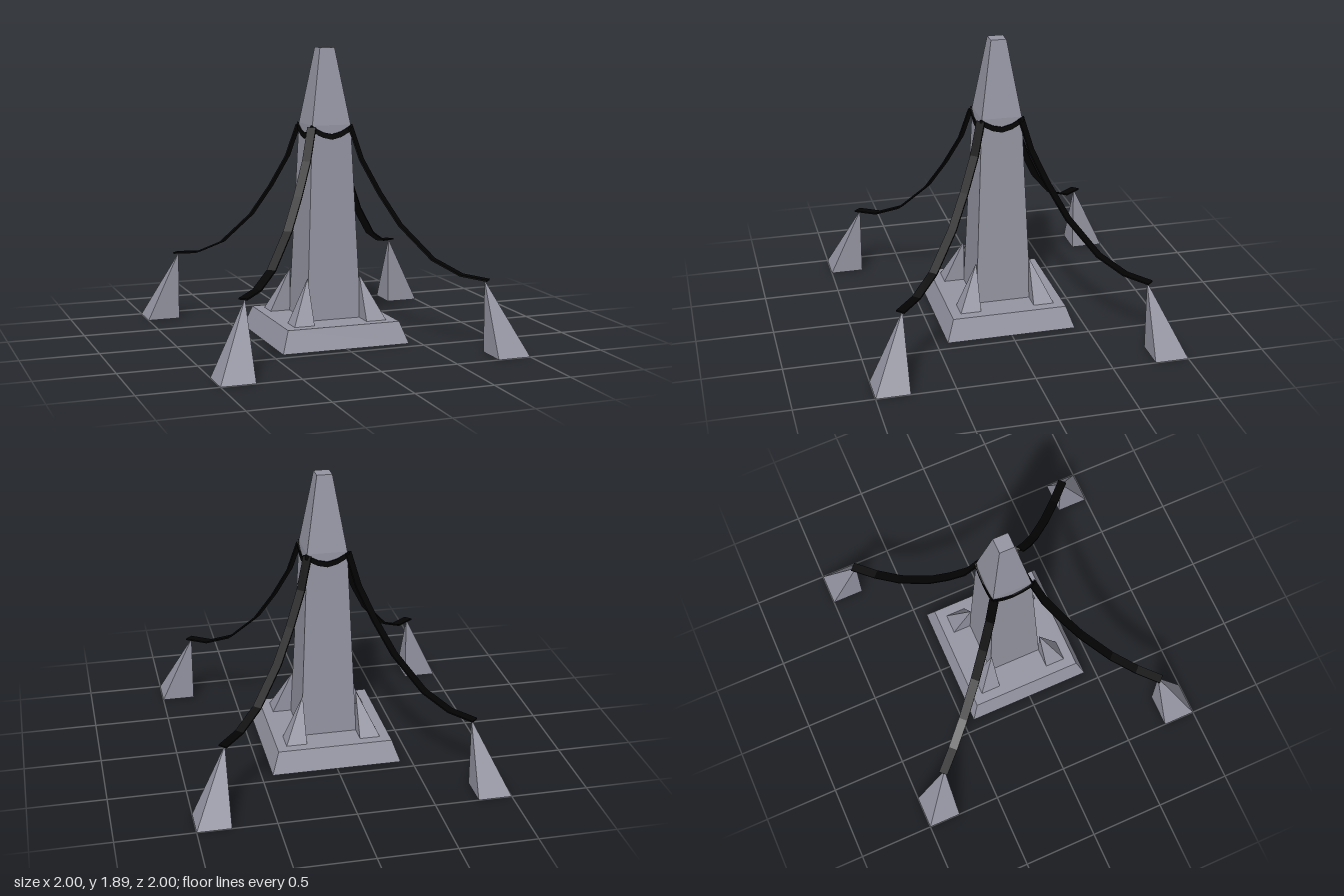
import * as THREE from 'three';

const stone = new THREE.MeshStandardMaterial({ color: 0x9494a2, flatShading: true, side: THREE.DoubleSide });
const black = new THREE.MeshStandardMaterial({ color: 0x030303, flatShading: true, side: THREE.DoubleSide });

function flatMesh(name, geometry, material) {
  const g = geometry.index ? geometry.toNonIndexed() : geometry;
  g.computeVertexNormals();
  const mesh = new THREE.Mesh(g, material);
  mesh.name = name;
  return mesh;
}

// Square section swept up a profile of [half width, height], open below
function squareLathe(profile) {
  const points = profile.map(([w, y]) => new THREE.Vector2(w * Math.SQRT2, y));
  return new THREE.LatheGeometry(points, 4, Math.PI / 4);
}

// Open-bottomed pyramid on the square a..b, with its apex above the inner corner
function cornerPyramid(a, b, y0, y1) {
  const c = [[a, a], [b, a], [b, b], [a, b]];
  const pos = [];
  for (let i = 0; i < 4; i++) {
    const [p, q] = [c[i], c[(i + 1) % 4]];
    pos.push(q[0], y0, q[1], p[0], y0, p[1], a, y1, a);
  }
  return new THREE.BufferGeometry().setAttribute('position', new THREE.Float32BufferAttribute(pos, 3));
}

// Thin band along a centre line; half is the vector from centre line to edge
function band(points, half, thickness) {
  const path = points.map((p) => new THREE.Vector3(...p));
  const pos = [];
  const index = [];
  path.forEach((p, i) => {
    const tangent = path[Math.min(i + 1, path.length - 1)].clone().sub(path[Math.max(i - 1, 0)]);
    const depth = tangent.cross(half).setLength(thickness / 2);
    for (const [u, v] of [[-1, -1], [1, -1], [1, 1], [-1, 1]]) {
      pos.push(...p.clone().addScaledVector(half, u).addScaledVector(depth, v).toArray());
    }
    for (let j = 0; i && j < 4; j++) {
      const a = 4 * i + j;
      const b = 4 * i + (j + 1) % 4;
      index.push(a - 4, a, b - 4, b - 4, a, b);
    }
  });
  const end = pos.length / 3 - 4;
  index.push(0, 1, 2, 0, 2, 3, end, end + 2, end + 1, end, end + 3, end + 2);
  const g = new THREE.BufferGeometry();
  g.setAttribute('position', new THREE.Float32BufferAttribute(pos, 3));
  g.setIndex(index);
  return g;
}

function squarePath(PathType, x0, x1, y0, y1) {
  return new PathType([[x0, y0], [x1, y0], [x1, y1], [x0, y1]].map(([x, y]) => new THREE.Vector2(x, y)));
}

export function createModel() {
  const model = new THREE.Group();
  model.name = 'obelisk';

  // Plinth: sloping sides and a top plate open under the shaft and buttresses
  model.add(flatMesh('plinthSides', squareLathe([[0.427, 0], [0.378, 0.14]]), stone));
  const plate = squarePath(THREE.Shape, -0.378, 0.378, -0.378, 0.378);
  plate.holes.push(squarePath(THREE.Path, -0.18, 0.18, -0.18, 0.18));
  for (const sx of [-1, 1]) for (const sy of [-1, 1]) {
    plate.holes.push(squarePath(THREE.Path, sx * 0.183, sx * 0.313, sy * 0.183, sy * 0.313));
  }
  const plateGeometry = new THREE.ShapeGeometry(plate).rotateX(-Math.PI / 2).translate(0, 0.14, 0);
  model.add(flatMesh('plinthTop', plateGeometry, stone));

  // Shaft with a steeper upper taper, standing slightly off centre
  const tower = new THREE.Group();
  tower.name = 'tower';
  tower.position.set(0.005, 0, -0.005);
  tower.add(flatMesh('shaft', squareLathe([[0.185, 0.14], [0.131, 1.4], [0.05, 1.893], [0, 1.893]]), stone));
  model.add(tower);

  // Centre lines of the hanging bands
  const stay = [[0.132, 1.39], [0.187, 1.18], [0.277, 0.97], [0.38, 0.77], [0.54, 0.565], [0.675, 0.48], [0.8, 0.461]]
    .map(([d, y]) => [d, y, d]);
  const swag = [[-0.135, 1.385], [-0.113, 1.368], [-0.062, 1.34], [0, 1.325], [0.062, 1.34], [0.113, 1.368], [0.135, 1.385]]
    .map(([x, y]) => [x, y, 0.139]);

  // One corner and one face, repeated round the shaft
  for (let i = 0; i < 4; i++) {
    const side = new THREE.Group();
    side.name = `side${i + 1}`;
    side.rotation.y = i * Math.PI / 2;
    side.add(
      flatMesh('buttress', cornerPyramid(0.178, 0.313, 0.14, 0.425), stone),
      flatMesh('anchor', cornerPyramid(0.783, 1, 0, 0.461), stone),
      flatMesh('stayBand', band(stay, new THREE.Vector3(0.021, 0, -0.021), 0.01), black),
    );
    model.add(side);

    const swagBand = flatMesh('swagBand', band(swag, new THREE.Vector3(0, 0.018, 0), 0.008), black);
    swagBand.rotation.y = side.rotation.y;
    tower.add(swagBand);
  }
  return model;
}
